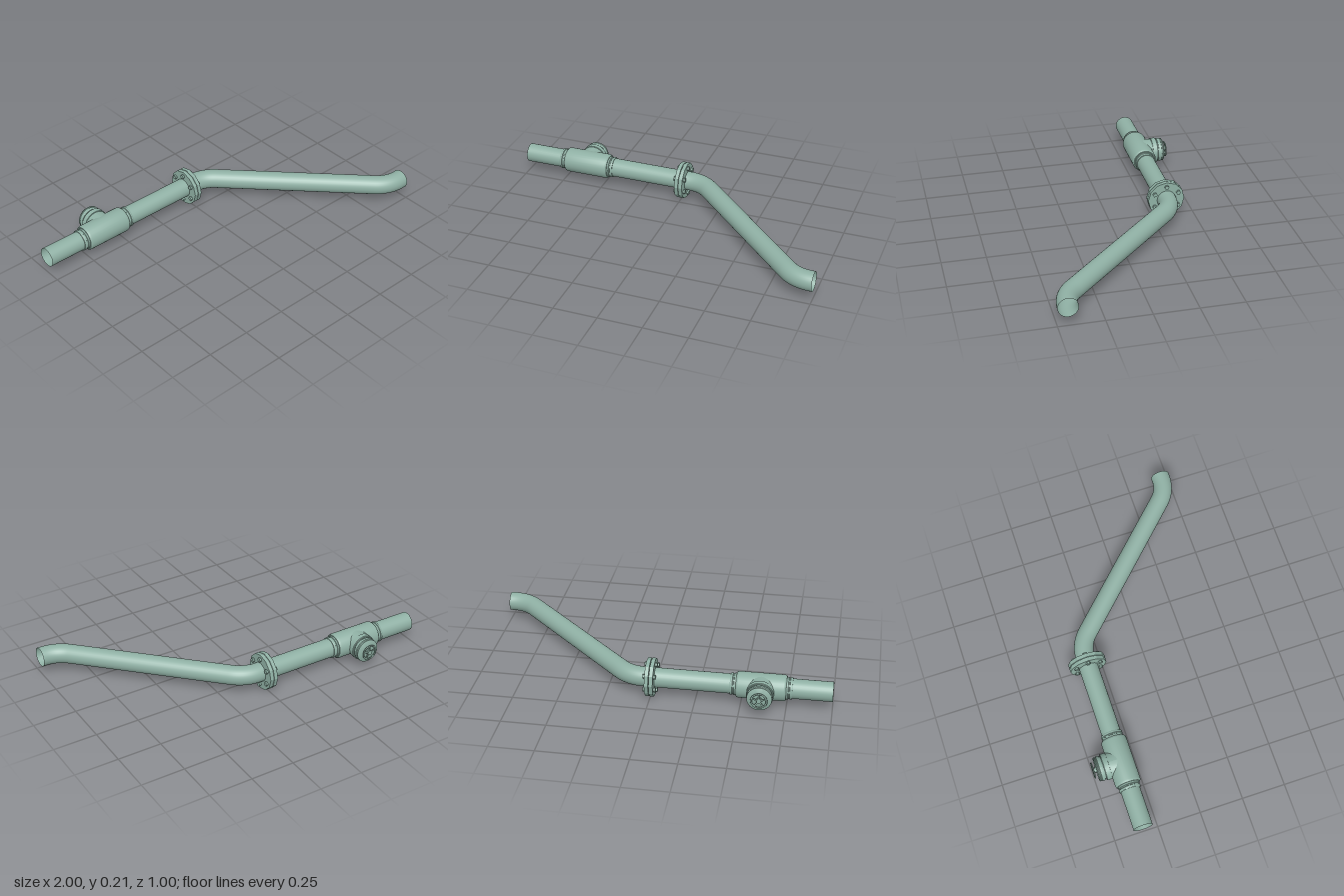
import * as THREE from 'three';
import { toCreasedNormals } from 'three/addons/utils/BufferGeometryUtils.js';

const AXIS_Y = 0.108, AXIS_Z = -0.335, PIPE_R = 0.055, VALVE_X = -0.61;

export function createModel() {
  const group = new THREE.Group();
  const paint = new THREE.MeshStandardMaterial({ color: 0x8fb0a4 });
  const open = new THREE.MeshStandardMaterial({ color: 0x8fb0a4, side: THREE.DoubleSide });

  const add = (name, geometry, parent = group, material = paint) => {
    const mesh = new THREE.Mesh(geometry, material);
    mesh.name = name;
    parent.add(mesh);
    return mesh;
  };
  // Turned part from [radius, height] pairs, with crisp steps
  const turned = (profile, sides = 32) => toCreasedNormals(
    new THREE.LatheGeometry(profile.map(([r, h]) => new THREE.Vector2(r, h)), sides), 0.6);
  const alongX = (geometry) => geometry.rotateZ(-Math.PI / 2);
  const alongBack = (geometry) => geometry.rotateX(-Math.PI / 2);

  // Straight, open-ended pipe
  const straight = add('straightPipe',
    alongX(new THREE.CylinderGeometry(PIPE_R, PIPE_R, 1, 32, 1, true)), group, open);
  straight.position.set(-0.5, AXIS_Y, AXIS_Z);

  // Offset pipe with two 45 degree bends
  const p = (x, z) => new THREE.Vector3(x, AXIS_Y, z);
  const endZ = 0.443, cornerA = 0.12, cornerB = cornerA + endZ - AXIS_Z;
  const t = 0.085, d = t * Math.SQRT1_2;
  const path = new THREE.CurvePath();
  const pts = [p(0, AXIS_Z), p(cornerA - t, AXIS_Z), p(cornerA + d, AXIS_Z + d),
    p(cornerB - d, endZ - d), p(cornerB + t, endZ), p(1, endZ)];
  path.add(new THREE.LineCurve3(pts[0], pts[1]));
  path.add(new THREE.QuadraticBezierCurve3(pts[1], p(cornerA, AXIS_Z), pts[2]));
  path.add(new THREE.LineCurve3(pts[2], pts[3]));
  path.add(new THREE.QuadraticBezierCurve3(pts[3], p(cornerB, endZ), pts[4]));
  path.add(new THREE.LineCurve3(pts[4], pts[5]));
  add('bentPipe', new THREE.TubeGeometry(path, 90, PIPE_R, 32, false), group, open);

  // Bolted flange joint: two twelve-sided plates and six bolts
  const joint = new THREE.Group();
  joint.name = 'flangeJoint';
  joint.position.set(0, AXIS_Y, AXIS_Z);
  group.add(joint);
  for (const side of [-1, 1]) {
    const plate = add('flangePlate', toCreasedNormals(alongX(turned(
      [[0.05, -0.011], [0.107, -0.011], [0.107, 0.011], [0.05, 0.011]], 12)), 0.3), joint);
    plate.position.x = side * 0.0125;
  }
  for (let i = 0; i < 6; i++) {
    const a = (i * Math.PI) / 3;
    const y = Math.cos(a) * 0.08, z = Math.sin(a) * 0.08;
    for (const side of [-1, 1]) {
      const head = add('boltHead', toCreasedNormals(alongX(
        new THREE.CylinderGeometry(0.013, 0.013, 0.013, 6)), 0.5), joint);
      head.position.set(side * 0.029, y, z);
    }
  }

  // Valve body with rounded shoulders and end collars
  const valve = new THREE.Group();
  valve.name = 'valve';
  valve.position.set(VALVE_X, AXIS_Y, AXIS_Z);
  group.add(valve);
  add('valveBody', alongX(turned([[0.054, -0.137], [0.066, -0.137], [0.071, -0.132],
    [0.073, -0.124], [0.073, 0.124], [0.071, 0.132], [0.066, 0.137], [0.054, 0.137]])), valve);
  for (const side of [-1, 1]) {
    const collar = add('endCollar', alongX(turned([[0.053, -0.018], [0.059, -0.018], [0.061, -0.015],
      [0.061, -0.005], [0.058, -0.003], [0.058, 0.003], [0.061, 0.005],
      [0.061, 0.015], [0.059, 0.018], [0.053, 0.018]])), valve);
    collar.position.x = side * 0.152;
  }

  // Branch neck, flaring sideways where it joins the body
  const neck = new THREE.CylinderGeometry(0.07, 0.07, 0.1, 32, 5, true);
  const pos = neck.attributes.position;
  for (let i = 0; i < pos.count; i++) {
    const low = 0.5 - pos.getY(i) / 0.1;
    pos.setX(i, pos.getX(i) * (1 + 0.5 * low * low));
  }
  neck.computeVertexNormals();
  add('branchNeck', alongBack(neck), valve).position.z = -0.05;

  // Stepped bonnet closing the branch
  add('bonnet', alongBack(turned([[0.06, 0.07], [0.075, 0.073], [0.075, 0.101], [0.072, 0.104],
    [0.065, 0.104], [0.065, 0.11], [0.069, 0.11], [0.071, 0.113], [0.071, 0.127],
    [0.066, 0.13], [0.066, 0.135], [0.069, 0.137], [0.069, 0.141],
    [0.064, 0.144], [0, 0.144]])), valve);
  add('stem', alongBack(turned([[0.016, 0.143], [0.016, 0.153], [0.009, 0.153],
    [0.009, 0.164], [0, 0.164]], 16)), valve);

  // Spoked handwheel
  const wheel = new THREE.Group();
  wheel.name = 'handwheel';
  wheel.position.z = -0.161;
  valve.add(wheel);
  add('wheelRim', new THREE.TorusGeometry(0.042, 0.005, 8, 32).scale(1, 1, 0.8), wheel);
  add('wheelHub', alongBack(new THREE.CylinderGeometry(0.013, 0.013, 0.008, 16)), wheel);
  for (let i = 0; i < 5; i++) {
    const spoke = new THREE.BoxGeometry(0.008, 0.036, 0.005).translate(0, 0.024, 0);
    add('wheelSpoke', spoke, wheel).rotation.z = (i * Math.PI * 2) / 5;
  }
  return group;
}
